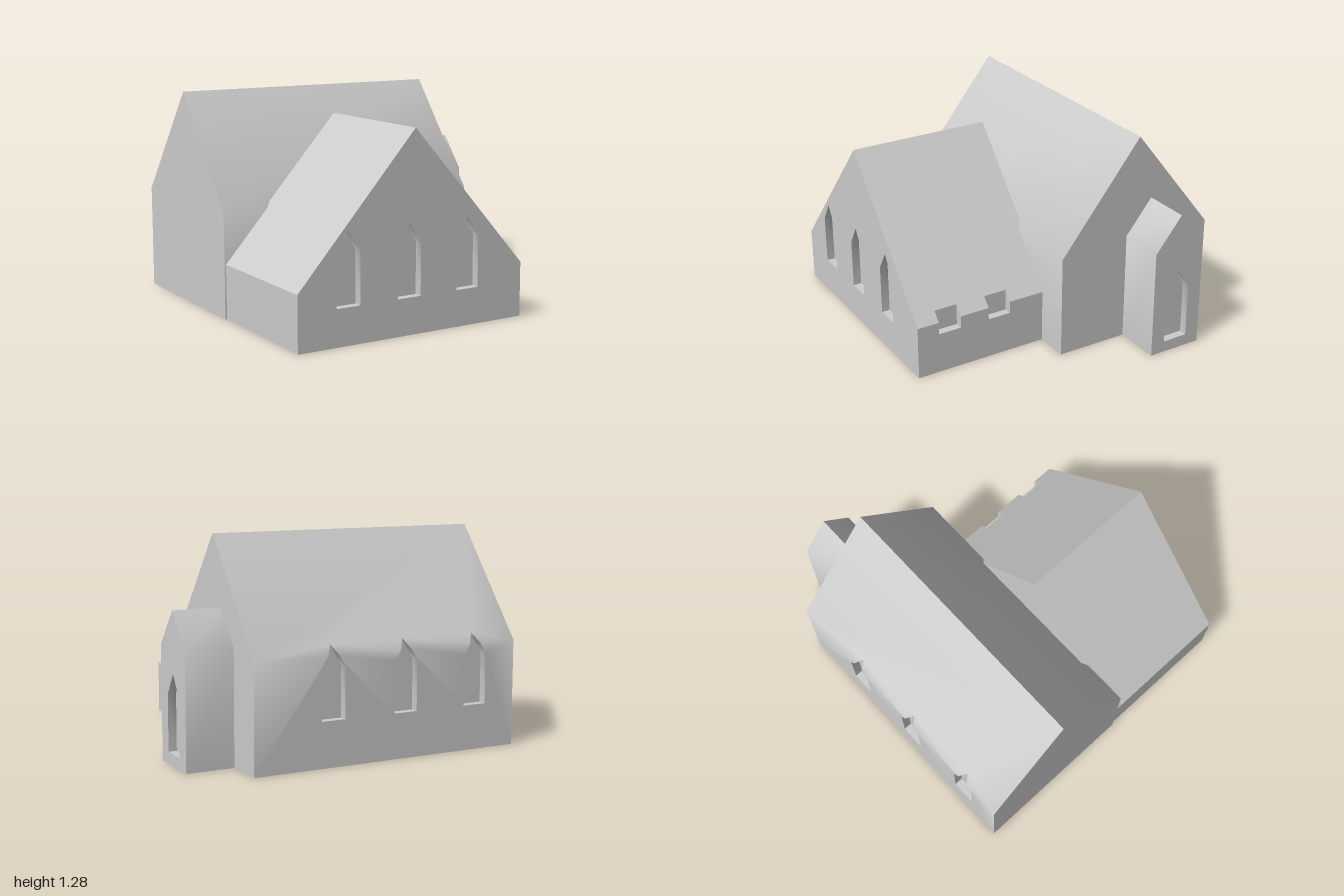
import * as THREE from 'three';
import { toCreasedNormals } from 'three/addons/utils/BufferGeometryUtils.js';

const RECESS = 0.05;

// Adds a flat polygon, counter-clockwise from outside, with optional holes
function addFace(out, outline, holes = []) {
  const pts = outline.filter((p, i) =>
    p.distanceTo(outline[(i + 1) % outline.length]) > 1e-6);
  if (pts.length < 3) return;
  const normal = new THREE.Vector3();
  pts.forEach((p, i) =>
    normal.add(new THREE.Vector3().crossVectors(p, pts[(i + 1) % pts.length])));
  normal.normalize();
  const u = new THREE.Vector3().subVectors(pts[1], pts[0]).normalize();
  const v = new THREE.Vector3().crossVectors(normal, u);
  const flat = (p) => new THREE.Vector2(p.dot(u), p.dot(v));
  const reversed = holes.map((h) => [...h].reverse());
  const all = [...pts, ...reversed.flat()];
  const tris = THREE.ShapeUtils.triangulateShape(
    pts.map(flat), reversed.map((h) => h.map(flat)));
  for (const t of tris) for (const i of t) out.push(...all[i].toArray());
}

// Reveals and pane of a recess: joins the outer ring to the inner ring
function addRecess(out, outer, inner) {
  outer.forEach((a, i) => {
    const j = (i + 1) % outer.length;
    addFace(out, [a, outer[j], inner[j], inner[i]]);
  });
  addFace(out, inner);
}

// Pointed window ring, counter-clockwise
const lancet = (c, half, sill, spring, apex) => [
  [c - half, sill], [c + half, sill], [c + half, spring], [c, apex], [c - half, spring],
];

// Pointed window whose tip cuts the eave; starts at the left eave point
function eaveLancet(c, half, sill, spring, apex, eave) {
  const cut = half * (apex - eave) / (apex - spring);
  return [
    [c - cut, eave], [c - half, spring], [c - half, sill],
    [c + half, sill], [c + half, spring], [c + cut, eave], [c, apex],
  ];
}

// Square slot cut through the eave; starts at the left eave point
const eaveSlot = (c, half, sill, top, eave) => [
  [c - half, eave], [c - half, sill], [c + half, sill],
  [c + half, eave], [c + half, top], [c - half, top],
];

// Gabled block: front gable at z = 0 facing +z, running back to z = -length
function gabledBlock({ width, length, eave, ridge, gableWindows = [], sideWindows = [] }) {
  const out = [];
  const h = width / 2;
  const slope = (ridge - eave) / h;
  const V = (x, y, z) => new THREE.Vector3(x, y, z);
  const front = (u, v, d = 0) => V(u, v, -d);
  const back = (u, v) => V(-u, v, -length);
  const gable = [[-h, 0], [h, 0], [h, eave], [0, ridge], [-h, eave]];

  // Gable walls and recessed windows
  const rings = gableWindows.map((w) => w.map(([u, v]) => front(u, v)));
  addFace(out, gable.map(([u, v]) => front(u, v)), rings);
  addFace(out, gable.map(([u, v]) => back(u, v)));
  gableWindows.forEach((w, i) =>
    addRecess(out, rings[i], w.map(([u, v]) => front(u, v, RECESS))));

  // Right wall and roof slope, notched by the side windows
  const right = ([u, v]) => V(h - Math.max(0, (v - eave) / slope), v, -u);
  const wall = [[0, 0], [length, 0], [length, eave]];
  for (const w of [...sideWindows].reverse())
    wall.push(...w.filter((p) => p[1] <= eave).reverse());
  wall.push([0, eave]);
  const roof = [[0, eave]];
  for (const w of sideWindows) {
    const low = w.filter((p) => p[1] <= eave);
    roof.push(w[0], ...w.filter((p) => p[1] > eave).reverse(), low[low.length - 1]);
  }
  roof.push([length, eave], [length, ridge], [0, ridge]);
  addFace(out, wall.map(right));
  addFace(out, roof.map(right));
  for (const w of sideWindows)
    addRecess(out, w.map(right), w.map(([u, v]) => V(h - RECESS, v, -u)));

  // Left wall, left roof slope and floor
  addFace(out, [V(-h, 0, -length), V(-h, 0, 0), V(-h, eave, 0), V(-h, eave, -length)]);
  addFace(out, [V(-h, eave, -length), V(-h, eave, 0), V(0, ridge, 0), V(0, ridge, -length)]);
  addFace(out, [V(-h, 0, -length), V(h, 0, -length), V(h, 0, 0), V(-h, 0, 0)]);

  const geo = new THREE.BufferGeometry();
  geo.setAttribute('position', new THREE.Float32BufferAttribute(out, 3));
  return toCreasedNormals(geo, THREE.MathUtils.degToRad(40));
}

export function createModel() {
  const group = new THREE.Group();
  group.name = 'chapel';
  const stone = new THREE.MeshStandardMaterial({ color: 0xcccccc });
  stone.name = 'pale grey stone';

  const add = (name, spec, x, z, turn) => {
    const mesh = new THREE.Mesh(gabledBlock(spec), stone);
    mesh.name = name;
    mesh.position.set(x, 0, z);
    mesh.rotation.y = turn;
    group.add(mesh);
  };

  // Main hall, ridge along x, three windows on the back wall
  add('mainHall', {
    width: 1.04, length: 1.71, eave: 0.63, ridge: 1.285,
    sideWindows: [0.49, 0.96, 1.435].map((c) =>
      eaveLancet(c, 0.075, 0.267, 0.567, 0.687, 0.63)),
  }, 0.71, -0.42, Math.PI / 2);

  // Front wing, ridge along z, three gable windows and two side slots
  const wingSlope = (1.16 - 0.325) / 0.745;
  add('frontWing', {
    width: 1.49, length: 0.87, eave: 0.325, ridge: 1.16,
    gableWindows: [-0.43, -0.035, 0.36].map((c) =>
      lancet(c, 0.075, 0.215, 0.515, 0.635)),
    sideWindows: [0.21, 0.54].map((c) =>
      eaveSlot(c, 0.072, 0.25, 0.325 + RECESS * wingSlope, 0.325)),
  }, -0.245, 0.94, 0);

  // Small porch on the gable end
  add('porch', {
    width: 0.34, length: 0.29, eave: 0.67, ridge: 0.88,
    gableWindows: [lancet(0, 0.08, 0.07, 0.4, 0.525)],
  }, 1, -0.52, Math.PI / 2);

  return group;
}
